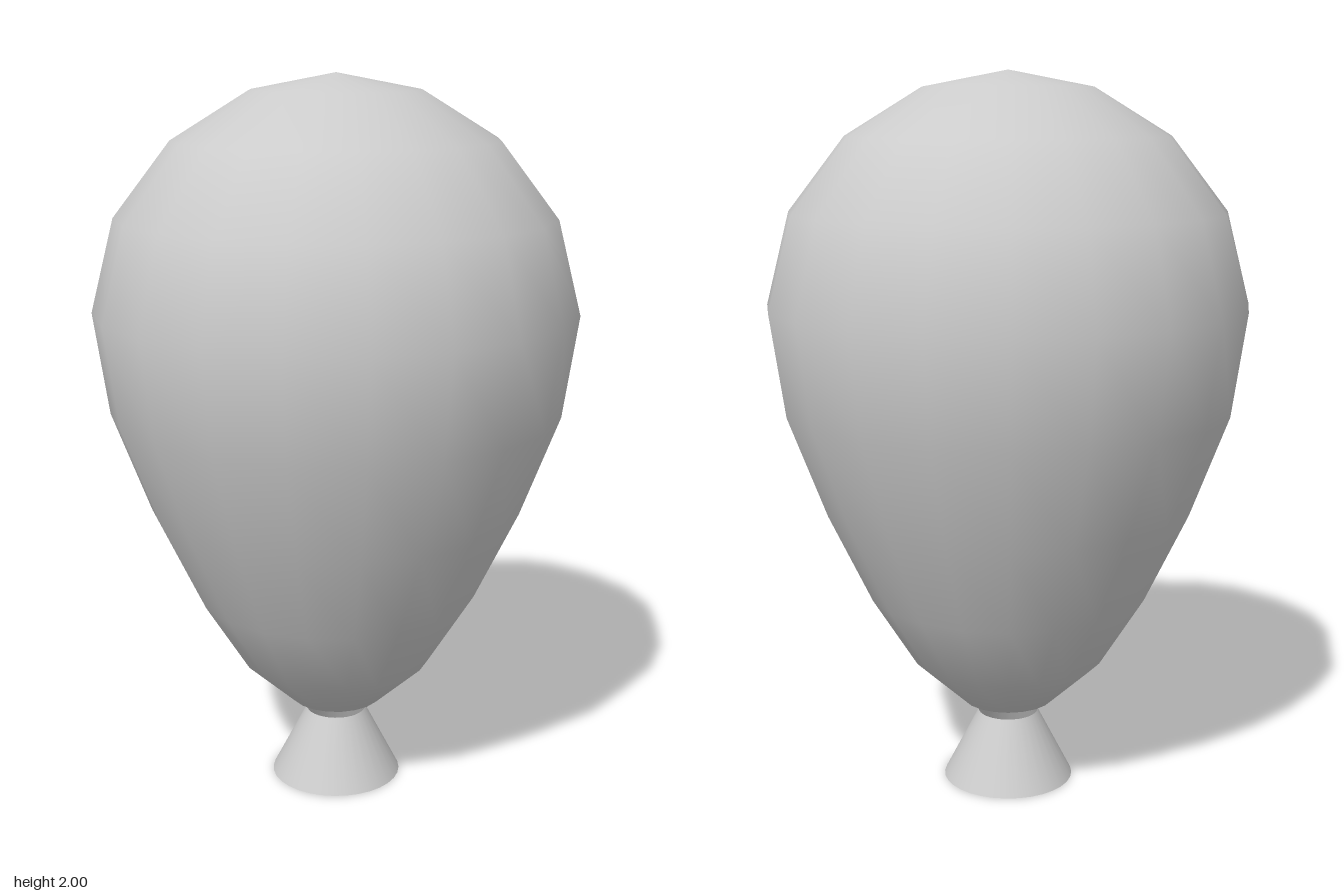
import * as THREE from 'three';

export function createModel() {
  const model = new THREE.Group();

  // Envelope: a 20-sided, smooth teardrop with ten rings spaced like a sphere's
  const radii = [0, 0.13, 0.27, 0.395, 0.515, 0.62, 0.66, 0.595, 0.44, 0.23, 0];
  const profile = radii.map((r, i) =>
    new THREE.Vector2(r, 1.095 - 0.905 * Math.cos((i / 10) * Math.PI)));
  const envelope = new THREE.Mesh(
    new THREE.LatheGeometry(profile, 20),
    new THREE.MeshStandardMaterial({ color: 0xcccccc }));
  envelope.name = 'balloonBody';

  // Mouth: open flared skirt under the knot
  const mouth = new THREE.Mesh(
    new THREE.CylinderGeometry(0.085, 0.185, 0.195, 32, 1, true),
    new THREE.MeshStandardMaterial({ color: 0xcccccc, side: THREE.DoubleSide }));
  mouth.position.y = 0.0975;
  mouth.name = 'balloonMouth';

  model.add(envelope, mouth);
  return model;
}
